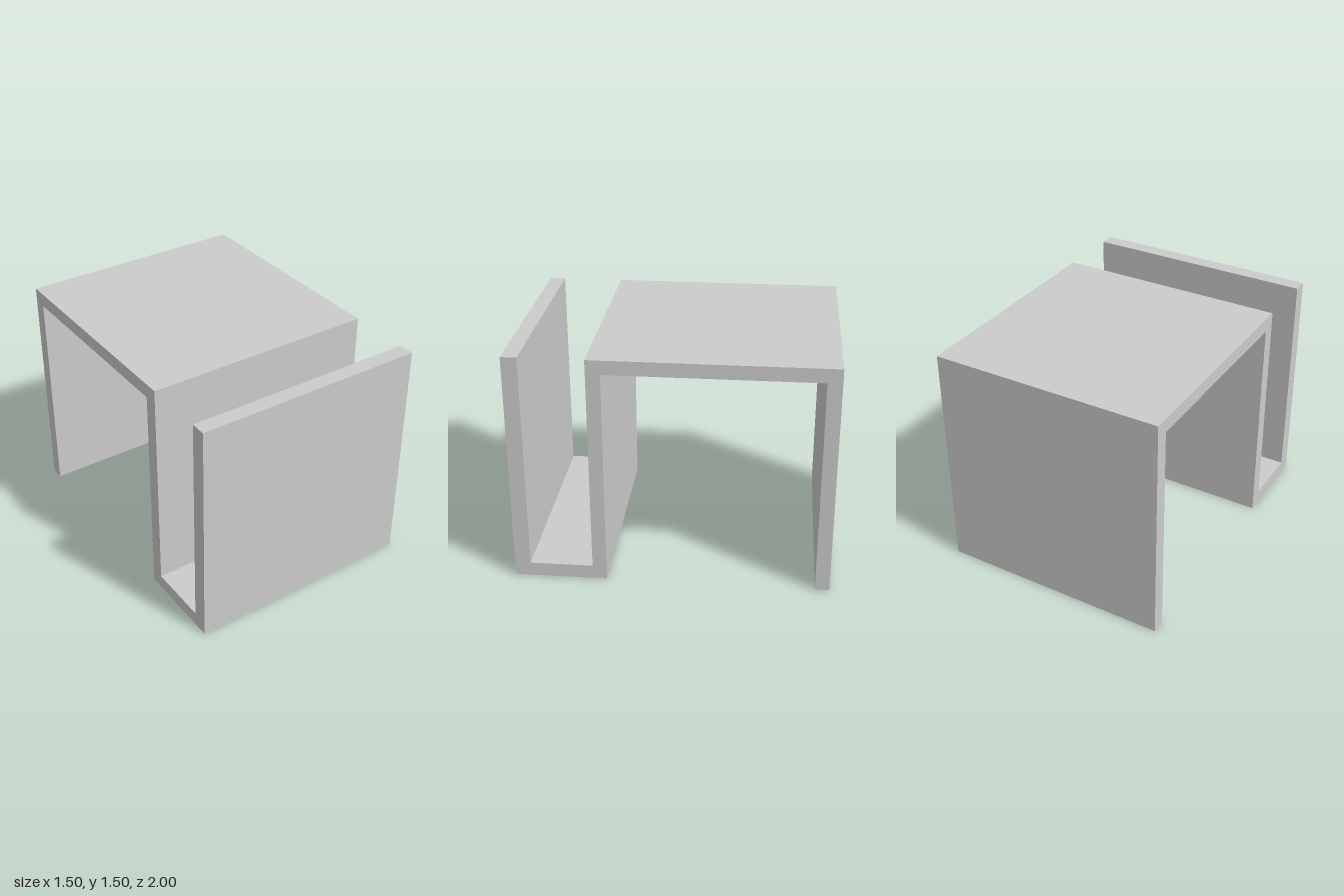
import * as THREE from 'three';

const WIDTH = 1.5;

export function createModel() {
  const group = new THREE.Group();
  group.name = 'sideTable';

  // Side profile of the folded sheet, as [z, y]: front panel, trough, inner wall, top, back panel
  const profile = [
    [1, 0], [0.41, 0], [0.41, 1.41], [-0.91, 1.41], [-0.91, 0], [-1, 0],
    [-1, 1.5], [0.5, 1.5], [0.5, 0.09], [0.9, 0.09], [0.9, 1.5], [1, 1.5],
  ];
  const shape = new THREE.Shape(profile.map(([z, y]) => new THREE.Vector2(-z, y)));

  // Extrude across the width, then turn the profile so it runs along z
  const geometry = new THREE.ExtrudeGeometry(shape, { depth: WIDTH, bevelEnabled: false });
  geometry.translate(0, 0, -WIDTH / 2);
  geometry.rotateY(Math.PI / 2);

  const body = new THREE.Mesh(
    geometry,
    new THREE.MeshStandardMaterial({ color: 0xcccccc, flatShading: true })
  );
  body.name = 'foldedTableBody';
  group.add(body);
  return group;
}
